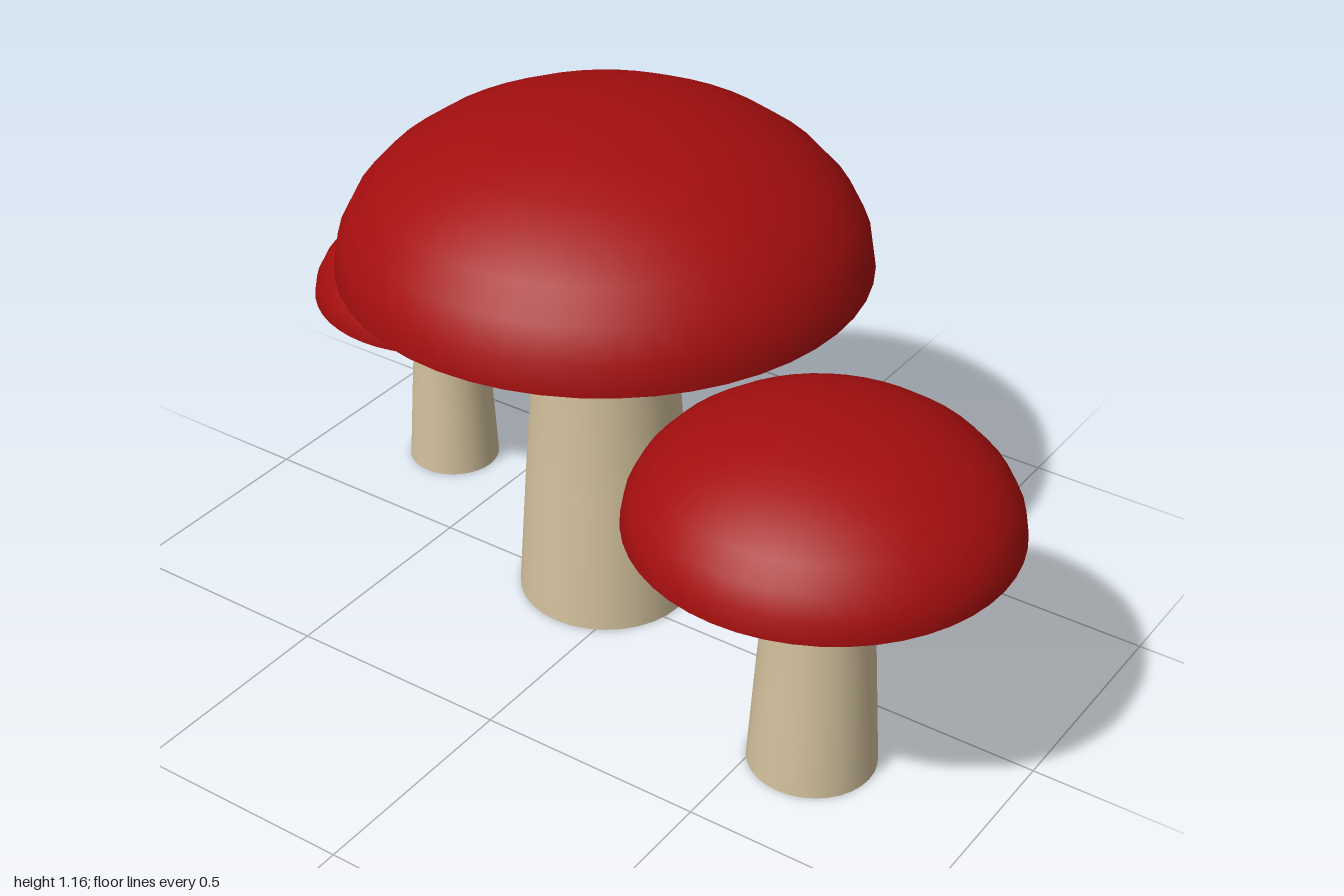
import * as THREE from 'three';

const capRed = new THREE.MeshStandardMaterial({ color: 0xa50e0e, side: THREE.DoubleSide });
capRed.name = 'cap red';
const stemCream = new THREE.MeshStandardMaterial({ color: 0xd2c09c, side: THREE.DoubleSide });
stemCream.name = 'stem cream';

// Open, slightly waisted stem that ends just inside the cap
const stemProfile = [[0.193, 0], [0.173, 0.33], [0.152, 0.65], [0.163, 0.83], [0.168, 0.91]]
  .map(([r, y]) => new THREE.Vector2(r, y));
const stemGeometry = new THREE.LatheGeometry(stemProfile, 32);

// Hollow, flattened half dome standing on its rim
const capGeometry = new THREE.SphereGeometry(0.56, 48, 8, 0, Math.PI * 2, 0, Math.PI / 2);
capGeometry.scale(1, 0.335 / 0.56, 1);
capGeometry.translate(0, 0.825, 0);

function mushroom(name, size, x, z) {
  const group = new THREE.Group();
  group.name = name;
  const stem = new THREE.Mesh(stemGeometry, stemCream);
  stem.name = 'stem';
  const cap = new THREE.Mesh(capGeometry, capRed);
  cap.name = 'cap';
  group.add(stem, cap);
  group.scale.setScalar(size);
  group.position.set(x, 0, z);
  return group;
}

export function createModel() {
  const model = new THREE.Group();
  model.name = 'mushrooms';
  model.add(
    mushroom('largeMushroom', 1, -0.09, -0.047),
    mushroom('mediumMushroom', 0.7, 0.606, 0.213),
    mushroom('smallMushroom', 0.55, -0.692, -0.264),
  );
  return model;
}
